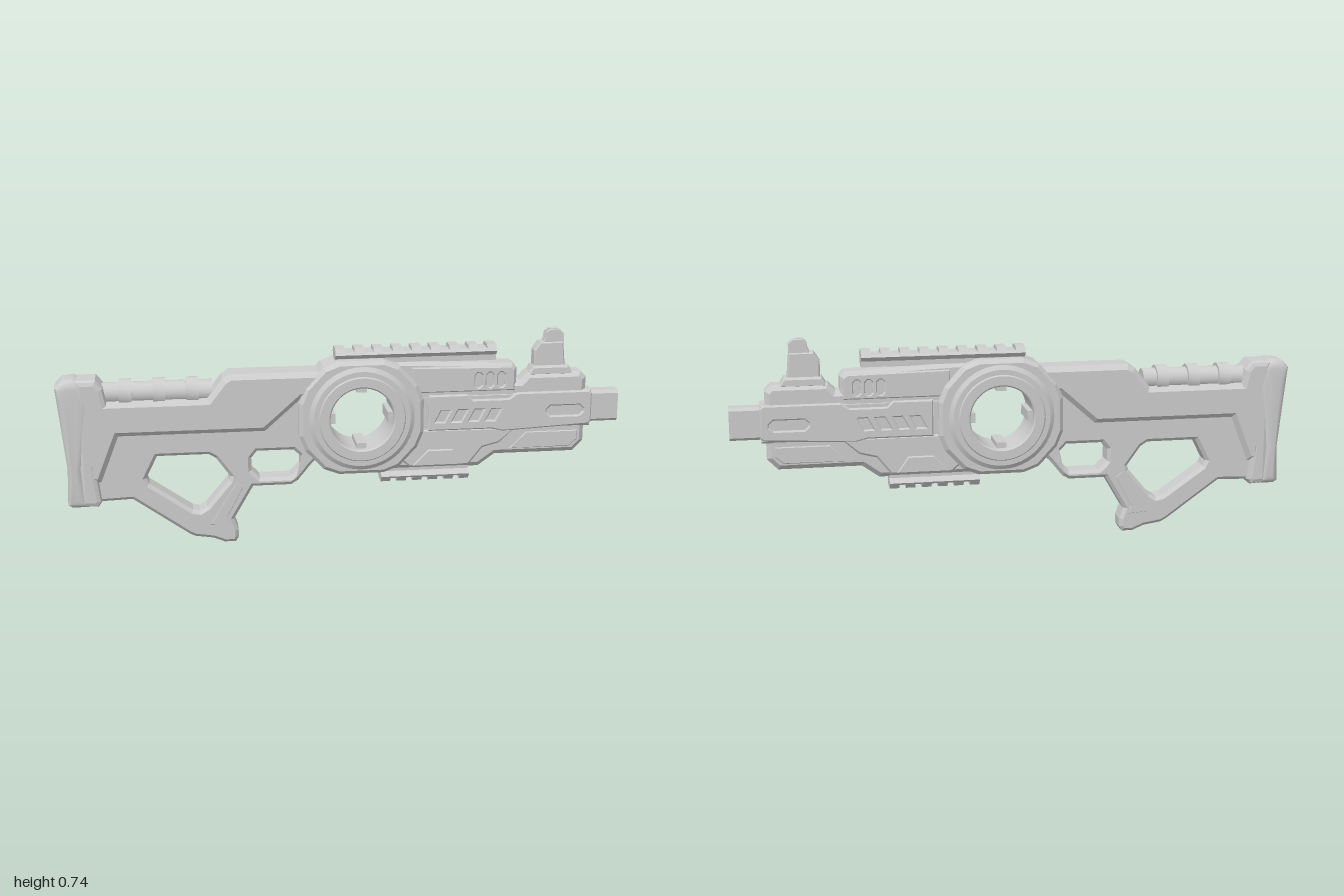
import * as THREE from 'three';
import { toCreasedNormals } from 'three/addons/utils/BufferGeometryUtils.js';

const grey = new THREE.MeshStandardMaterial({ color: 0xcccccc });
grey.name = 'light grey';

const toShape = (pts, Kind = THREE.Shape) => new Kind(pts.map(([x, y]) => new THREE.Vector2(x, y)));
const rect = (x0, y0, x1, y1, c) => [[x0 + c, y0], [x1 - c, y0], [x1, y0 + c], [x1, y1 - c],
  [x1 - c, y1], [x0 + c, y1], [x0, y1 - c], [x0, y0 + c]];
const circle = (cx, cy, r, n = 40) => Array.from({ length: n }, (_, i) => {
  const a = (i / n) * Math.PI * 2;
  return [cx + r * Math.cos(a), cy + r * Math.sin(a)];
});

// Outline extruded symmetrically to z = +-half, with chamfered or rounded edges inside the outline
function slabGeometry(pts, half, bevel, holes = [], bevelSegments = 1) {
  const shape = toShape(pts);
  shape.holes = holes.map((h) => toShape(h, THREE.Path));
  const geo = new THREE.ExtrudeGeometry(shape, {
    depth: 2 * (half - bevel), bevelEnabled: bevel > 0, bevelThickness: bevel,
    bevelSize: bevel, bevelOffset: -bevel, bevelSegments,
  });
  return geo.translate(0, 0, -(half - bevel));
}

export function createModel() {
  const model = new THREE.Group();
  model.name = 'toyBlaster';
  const add = (name, geo, x = 0, y = 0, z = 0) => {
    const mesh = new THREE.Mesh(geo, grey);
    mesh.name = name;
    mesh.position.set(x, y, z);
    model.add(mesh);
    return mesh;
  };
  const slab = (name, ...args) => add(name, slabGeometry(...args));
  // Thin panel on both sides, from z = inner to z = outer
  const sidePanels = (name, pts, inner, outer, bevel, holes) => {
    for (const s of [1, -1]) {
      slab(name, pts, (outer - inner) / 2, bevel, holes).position.z = s * (outer + inner) / 2;
    }
  };

  // Stock frame with thumb hole and trigger opening
  const thumbHole = [[-0.66, 0.335], [-0.48, 0.335], [-0.455, 0.32], [-0.405, 0.25], [-0.41, 0.235],
    [-0.49, 0.14], [-0.515, 0.125], [-0.54, 0.13], [-0.69, 0.235], [-0.7, 0.255]];
  const triggerHole = [[-0.31, 0.34], [-0.18, 0.34], [-0.155, 0.315], [-0.155, 0.275],
    [-0.19, 0.24], [-0.3, 0.24], [-0.33, 0.27], [-0.33, 0.315]];
  slab('stockFrame', [[-0.9, 0.58], [-0.9, 0.175], [-0.75, 0.18], [-0.555, 0.04], [-0.535, 0.03], [-0.47, 0.02],
    [-0.43, 0.003], [-0.39, 0.003], [-0.38, 0.02], [-0.38, 0.05], [-0.395, 0.09], [-0.325, 0.21], [-0.19, 0.21],
    [-0.165, 0.225], [-0.12, 0.28], [-0.08, 0.32], [-0.08, 0.58], [-0.42, 0.58], [-0.48, 0.53], [-0.83, 0.53]],
  0.043, 0.012, [thumbHole, triggerHole]);
  sidePanels('gripPanel', [[-0.48, 0.075], [-0.41, 0.07], [-0.42, 0.1], [-0.36, 0.21], [-0.385, 0.23]],
    0.038, 0.0445, 0.002);

  // Thick upper band of the stock
  slab('stockBand', [[-0.9, 0.25], [-0.855, 0.25], [-0.79, 0.415], [-0.28, 0.415], [-0.15, 0.53], [-0.075, 0.53],
    [-0.075, 0.625], [-0.4, 0.625], [-0.425, 0.61], [-0.48, 0.54], [-0.83, 0.54], [-0.86, 0.6], [-0.9, 0.6]],
  0.06, 0.018);

  // Rounded butt pad and its collar
  const buttPad = slabGeometry([[-0.975, 0.17], [-0.96, 0.16], [-0.9, 0.16], [-0.915, 0.3], [-0.88, 0.53],
    [-0.905, 0.61], [-0.935, 0.625], [-0.975, 0.62], [-1, 0.595], [-0.995, 0.55], [-0.97, 0.3]], 0.062, 0.028, [], 4);
  add('buttPad', toCreasedNormals(buttPad, 0.6));
  slab('buttCollar', [[-0.93, 0.165], [-0.87, 0.16], [-0.855, 0.18], [-0.87, 0.3], [-0.815, 0.49], [-0.835, 0.59],
    [-0.86, 0.62], [-0.93, 0.62]], 0.06, 0.018, [], 2);

  // Ribbed tube lying in the top recess of the stock
  const tube = (name, x, length, r) => add(name,
    toCreasedNormals(new THREE.CylinderGeometry(r, r, length, 20).rotateZ(Math.PI / 2), 0.6), x, 0.56);
  tube('stockTube', -0.65, 0.38, 0.039);
  for (const x of [-0.76, -0.645, -0.53]) tube('tubeRib', x, 0.042, 0.05);

  // Round housing, open through the middle
  const cx = 0.06, cy = 0.455;
  const half = [[0.222, -0.06], [0.222, 0.06], [0.2, 0.115], [0.135, 0.185], [0.08, 0.206]];
  const housing = [...half, ...half.slice(1).reverse().map(([x, y]) => [-x, y]), [-0.222, -0.06],
    [-0.2, -0.115], [-0.135, -0.185], [-0.08, -0.206], [0.08, -0.206], [0.135, -0.185], [0.2, -0.115]];
  slab('ringHousing', housing.map(([x, y]) => [x + cx, y + cy]), 0.07, 0.014, [circle(cx, cy, 0.125)]);
  const profile = [[0.113, -0.08], [0.118, -0.085], [0.15, -0.085], [0.154, -0.08], [0.172, -0.08], [0.2, -0.062],
    [0.2, 0.062], [0.172, 0.08], [0.154, 0.08], [0.15, 0.085], [0.118, 0.085], [0.113, 0.08], [0.113, -0.08]];
  const ring = new THREE.LatheGeometry(profile.map(([r, h]) => new THREE.Vector2(r, h)), 48).rotateX(Math.PI / 2);
  add('ring', toCreasedNormals(ring, 0.4), cx, cy);
  for (let i = 0; i < 4; i++) {
    const a = i * Math.PI / 2;
    add('ringLug', new THREE.BoxGeometry(0.024, 0.036, 0.12), cx + 0.105 * Math.cos(a), cy + 0.105 * Math.sin(a))
      .rotation.z = a;
  }

  // Front body, with the ring's bore kept clear
  slab('upperBody', [[0.2, 0.4], [0.62, 0.4], [0.62, 0.615], [0.605, 0.63], [0.3, 0.645], [0.16, 0.645], [0.2, 0.58]],
    0.044, 0.014);
  const slots = [0.48, 0.521, 0.562].map((x) => rect(x - 0.013, 0.548, x + 0.013, 0.602, 0.009));
  sidePanels('ventPanel', [[0.24, 0.535], [0.61, 0.535], [0.61, 0.61], [0.595, 0.622], [0.24, 0.628]],
    0.036, 0.052, 0.004, slots);
  slab('noseTop', [[0.58, 0.48], [0.877, 0.48], [0.877, 0.57], [0.855, 0.592], [0.66, 0.592], [0.635, 0.565],
    [0.58, 0.565]], 0.042, 0.018);
  slab('lowerBody', [[0.06, 0.249], [0.49, 0.249], [0.55, 0.292], [0.84, 0.292], [0.877, 0.33], [0.877, 0.45],
    [0.22, 0.45], [0.22, 0.36], [0.16, 0.32], [0.06, 0.32]], 0.04, 0.018);
  sidePanels('lowerSidePanel', [[0.19, 0.3], [0.235, 0.262], [0.45, 0.262], [0.5, 0.325], [0.56, 0.34],
    [0.62, 0.395], [0.3, 0.4], [0.24, 0.4]], 0.034, 0.052, 0.007);
  sidePanels('trapezoidPanel', [[0.245, 0.267], [0.43, 0.267], [0.39, 0.325], [0.3, 0.325]], 0.048, 0.058, 0.004);
  sidePanels('nosePanel', [[0.6, 0.315], [0.82, 0.315], [0.85, 0.34], [0.85, 0.375], [0.66, 0.375]],
    0.036, 0.043, 0.003);

  // Long middle block with slanted vents and one long slot
  slab('middleBlock', [[0.24, 0.39], [0.895, 0.39], [0.895, 0.525], [0.24, 0.525]], 0.046, 0.008);
  const vents = [0, 1, 2, 3].map((i) => {
    const x = 0.325 + i * 0.061;
    return [[x, 0.427], [x + 0.033, 0.427], [x + 0.055, 0.468], [x + 0.022, 0.468]];
  });
  sidePanels('middlePanel', [[0.3, 0.395], [0.53, 0.395], [0.57, 0.385], [0.885, 0.4], [0.895, 0.41], [0.895, 0.515],
    [0.885, 0.525], [0.62, 0.525], [0.59, 0.505], [0.46, 0.505], [0.44, 0.525], [0.3, 0.525]],
  0.04, 0.056, 0.005, [...vents, rect(0.73, 0.435, 0.865, 0.472, 0.014)]);

  // Hollow muzzle
  const muzzle = slabGeometry(rect(-0.03, 0.4, 0.03, 0.515, 0.01), 0.06, 0, [rect(-0.021, 0.41, 0.021, 0.505, 0.008)]);
  add('muzzle', muzzle.rotateY(Math.PI / 2), 0.94);

  // Toothed rails, profile swept along x; dir = -1 hangs downward
  function rail(name, x0, x1, y, count, dir) {
    const sweep = (pts, length) => new THREE.ExtrudeGeometry(
      toShape(pts.map(([z, h]) => [z, h * dir])), { depth: length, bevelEnabled: false }).rotateY(Math.PI / 2);
    add(name, sweep([[-0.026, 0], [0.026, 0], [0.026, 0.02], [0.042, 0.036], [0.034, 0.044], [-0.034, 0.044],
      [-0.042, 0.036], [-0.026, 0.02]], x1 - x0), x0, y);
    const tooth = 0.034, step = (x1 - x0 - tooth) / (count - 1);
    for (let i = 0; i < count; i++) {
      add(name + 'Tooth', sweep([[-0.043, 0.036], [0.043, 0.036], [0.026, 0.058], [-0.026, 0.058]], tooth),
        x0 + i * step, y);
    }
  }
  rail('topRail', -0.03, 0.545, 0.642, 9, 1);
  rail('bottomRail', 0.135, 0.455, 0.262, 6, -1);

  // Front sight: base, solid lower part, two ears and a thin post
  slab('sightBase', [[0.66, 0.58], [0.83, 0.58], [0.81, 0.615], [0.68, 0.615]], 0.032, 0.008);
  slab('sightBody', [[0.685, 0.6], [0.8, 0.6], [0.79, 0.7], [0.705, 0.7], [0.685, 0.67]], 0.024, 0.005);
  sidePanels('sightEar', [[0.7, 0.66], [0.79, 0.66], [0.79, 0.73], [0.775, 0.745], [0.74, 0.745], [0.728, 0.735],
    [0.725, 0.715]], 0.009, 0.02, 0.002);
  add('sightPost', new THREE.BoxGeometry(0.02, 0.06, 0.006), 0.76, 0.7);

  return model;
}
